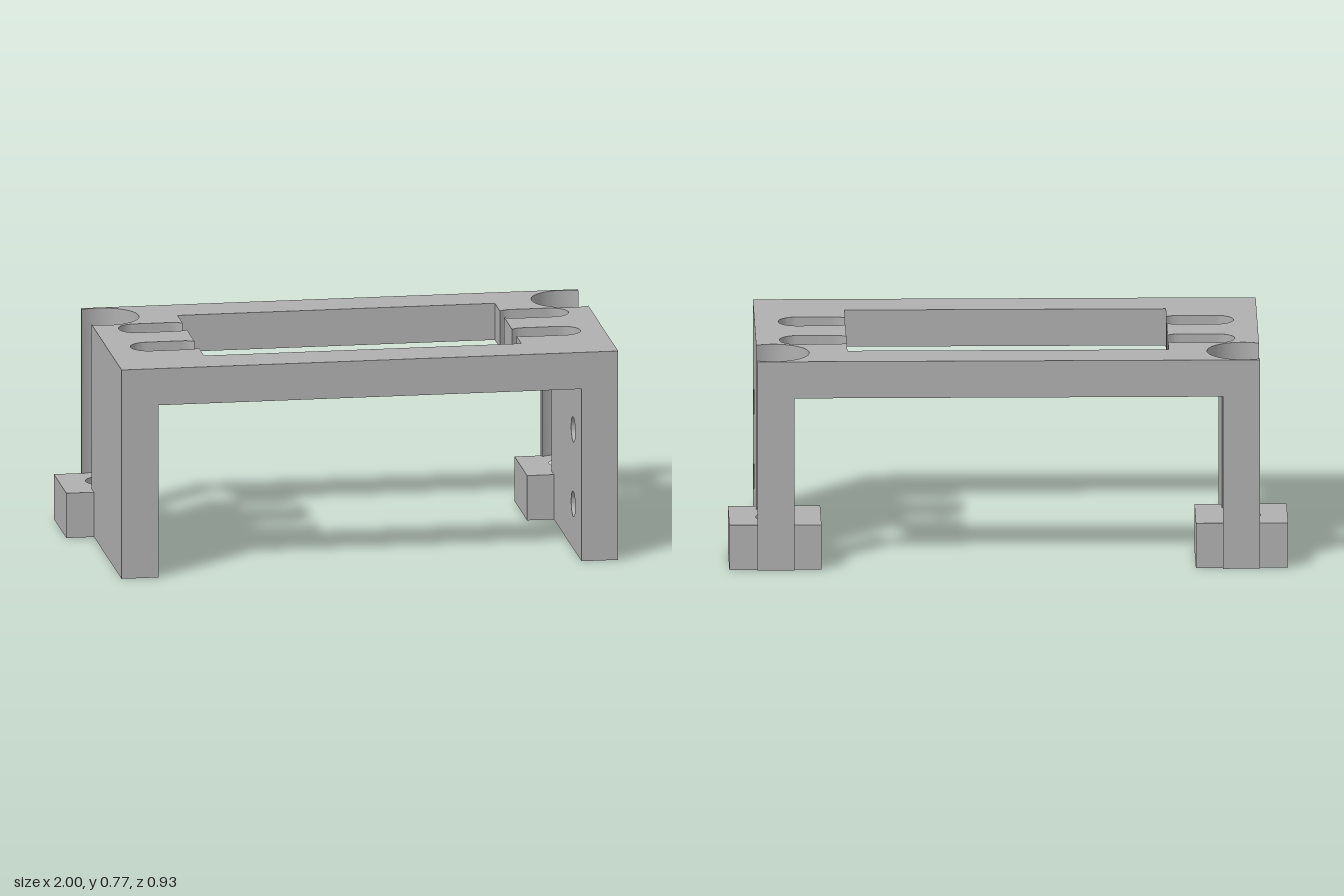
import * as THREE from 'three';
import { toCreasedNormals } from 'three/addons/utils/BufferGeometryUtils.js';

const OUT = 0.9, IN = 0.767;              // outer and inner faces of the side walls
const BACK = -0.465, FRONT = 0.465;
const TOP = 0.77, UNDER = 0.635, FOOT = 0.165;
const SPLIT = -0.165;                     // where the walls meet the feet
const BORE = { x: 0.84, z: -0.33, r: 0.128 };

// Points [x, z] along an arc
function arc(cx, cz, r, a0, a1, n = 20) {
  return Array.from({ length: n + 1 }, (_, i) => {
    const a = a0 + (a1 - a0) * i / n;
    return [cx + r * Math.cos(a), cz + r * Math.sin(a)];
  });
}
const boreArc = (a0, a1, n) => arc(BORE.x, BORE.z, BORE.r, a0, a1, n);
const boreAngle = x => Math.acos((x - BORE.x) / BORE.r);
const flip = (pts, s) => pts.map(([x, z]) => [x * s, z]);
const mirrored = pts => [...pts, ...flip(pts, -1).reverse()];
const toVectors = pts => pts.map(([x, z]) => new THREE.Vector2(x, -z));

// Vertical prism from a plan outline
function prism(pts, y0, y1, holes = []) {
  const shape = new THREE.Shape(toVectors(pts));
  for (const h of holes) shape.holes.push(new THREE.Path(toVectors(h)));
  const g = new THREE.ExtrudeGeometry(shape, { depth: y1 - y0, bevelEnabled: false });
  g.rotateX(-Math.PI / 2).translate(0, y0, 0);
  return toCreasedNormals(g, 0.5);
}

// Side wall extruded along x, with optional round screw holes
function wallPanel(side, holes) {
  const shape = new THREE.Shape(toVectors([[0, 0]]));
  shape.curves = [];
  shape.setFromPoints([[-FRONT, 0], [-SPLIT, 0], [-SPLIT, UNDER], [-FRONT, UNDER]]
    .map(p => new THREE.Vector2(...p)));
  for (const [z, y] of holes) {
    shape.holes.push(new THREE.Path().absarc(-z, y, 0.046, 0, Math.PI * 2, true));
  }
  const g = new THREE.ExtrudeGeometry(shape, { depth: OUT - IN, bevelEnabled: false, curveSegments: 32 });
  g.rotateY(Math.PI / 2).translate(side > 0 ? IN : -OUT, 0, 0);
  return toCreasedNormals(g, 0.5);
}

// Round-ended slot that opens into the window
function slot(cz) {
  const r = 0.065, inner = 0.617, b = Math.acos((0.575 - inner) / r), q = Math.PI / 2;
  return [...arc(inner, cz, r, b, q, 6), ...arc(0.75, cz, r, q, -q), ...arc(inner, cz, r, -q, -b, 6)];
}

export function createModel() {
  const model = new THREE.Group();
  const grey = new THREE.MeshStandardMaterial({ color: 0xb0b0b0 });
  grey.name = 'plain grey';
  const add = (name, geometry) => {
    const mesh = new THREE.Mesh(geometry, grey);
    mesh.name = name;
    model.add(mesh);
  };

  // Top plate with corner bores, window and slots
  const aOut = boreAngle(OUT), aIn = boreAngle(IN);
  const outline = mirrored([[OUT, FRONT], ...boreArc(aOut, Math.PI * 2 - aOut, 40), [OUT, BACK]]);
  const windowHole = mirrored([[0.575, 0.3], ...slot(0.135), ...slot(-0.14), [0.575, -0.305]]);
  add('topPlate', prism(outline, UNDER, TOP, [windowHole]));

  for (const side of [1, -1]) {
    const label = side > 0 ? 'left' : 'right';

    // Wall: only the left one carries screw holes
    add(label + 'Wall', wallPanel(side, side > 0 ? [[0.275, 0.165], [0.275, 0.44]] : []));

    // Wall end hollowed by the bore, and the thin post behind it
    const wallEnd = [[OUT, SPLIT], [IN, SPLIT], ...boreArc(aIn, aOut)];
    add(label + 'WallEnd', prism(flip(wallEnd, side), FOOT, UNDER));
    const post = [...boreArc(-aOut, -aIn), [IN, BACK], [OUT, BACK]];
    add(label + 'BackPost', prism(flip(post, side), FOOT, UNDER));

    // Mounting foot with a bolt hole
    const foot = [[1, SPLIT], [0.67, SPLIT], [0.67, -0.452], [IN, -0.452],
      [IN, BACK], [OUT, BACK], [OUT, -0.452], [1, -0.452]];
    const bolt = arc(BORE.x, BORE.z, 0.064, 0, Math.PI * 2, 32).slice(0, -1);
    add(label + 'Foot', prism(flip(foot, side), 0, FOOT, [flip(bolt, side)]));
  }
  return model;
}
